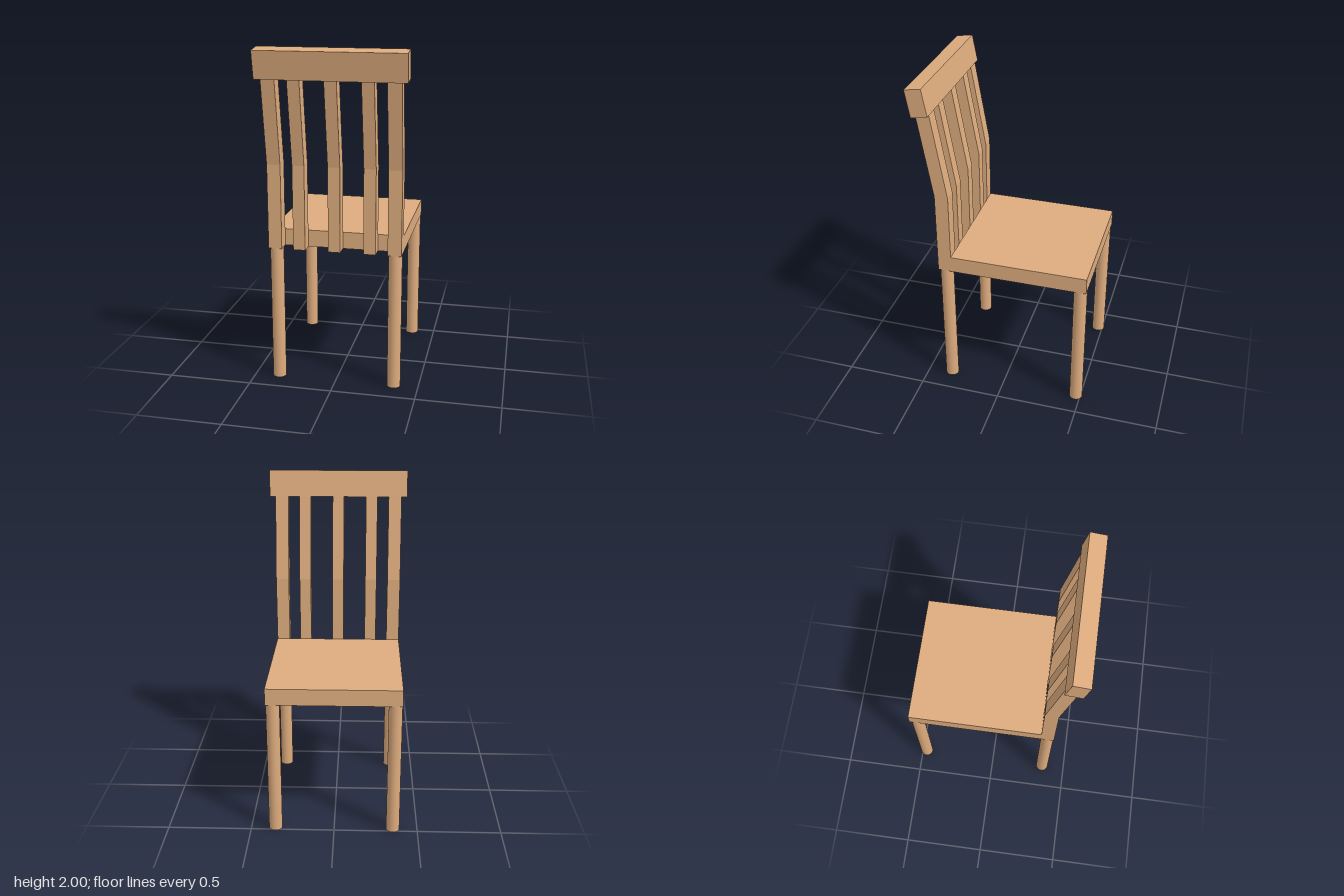
import * as THREE from 'three';

const wood = new THREE.MeshStandardMaterial({ color: 0xdeac7e });

// Extrudes a side profile of [z, y] points across x, centred on x = 0
function sideProfile(points, width) {
  const shape = new THREE.Shape(points.map(([z, y]) => new THREE.Vector2(-z, y)));
  const geometry = new THREE.ExtrudeGeometry(shape, { depth: width, bevelEnabled: false });
  return geometry.translate(0, 0, -width / 2).rotateY(Math.PI / 2);
}

export function createModel() {
  const chair = new THREE.Group();
  chair.name = 'chair';

  function add(name, geometry, x = 0, y = 0, z = 0) {
    const mesh = new THREE.Mesh(geometry, wood);
    mesh.name = name;
    mesh.position.set(x, y, z);
    chair.add(mesh);
  }

  // Seat
  add('seat', new THREE.BoxGeometry(0.786, 0.1, 0.822), 0, 0.877, -0.102);

  // Round legs; the backrest stands on the +z side
  const leg = new THREE.CylinderGeometry(0.04, 0.04, 0.827, 32);
  for (const x of [-0.353, 0.353]) {
    add('backLeg', leg, x, 0.4135, 0.349);
    add('frontLeg', leg, x, 0.4135, -0.472);
  }

  // Bent uprights: straight from the seat, then leaning back
  const bent = [
    [0.309, 0.827], [0.39, 0.827], [0.39, 1.33],
    [0.473, 1.828], [0.394, 1.841], [0.309, 1.33],
  ];
  const post = sideProfile(bent, 0.08);
  const slat = sideProfile(bent, 0.071);
  for (const x of [-0.353, 0.353]) add('backPost', post, x);
  for (const x of [-0.208, 0, 0.208]) add('backSlat', slat, x);

  // Tilted top rail
  const rail = [[0.485, 1.825], [0.514, 1.985], [0.417, 2], [0.388, 1.842]];
  add('topRail', sideProfile(rail, 0.856));

  return chair;
}
